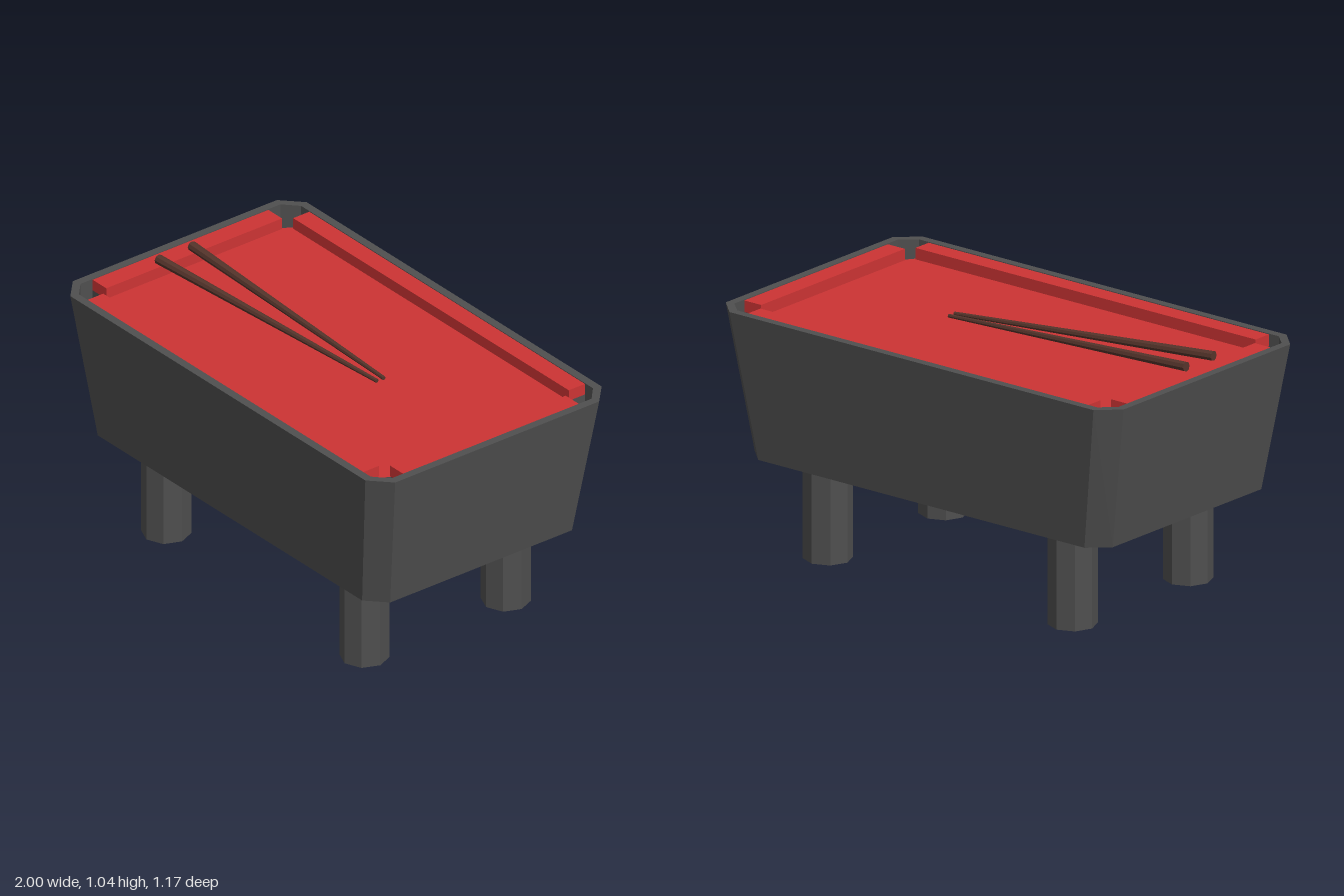
import * as THREE from 'three';

const grey = new THREE.MeshStandardMaterial({ color: 0x4f4f4f, flatShading: true });
grey.name = 'dark grey';
const red = new THREE.MeshStandardMaterial({ color: 0xcc3434, flatShading: true });
red.name = 'red felt';
const brown = new THREE.MeshStandardMaterial({ color: 0x55342b, flatShading: true });
brown.name = 'dark wood';

function add(group, name, geometry, material) {
  const mesh = new THREE.Mesh(geometry, material);
  mesh.name = name;
  group.add(mesh);
  return mesh;
}

// Chamfered rectangle at height y; (cx, cz) is where the chamfer starts on each side
function ring(y, hx, hz, cx, cz) {
  return [[hx, cz], [cx, hz], [-cx, hz], [-hx, cz], [-hx, -cz], [-cx, -hz], [cx, -hz], [hx, -cz]]
    .map(([x, z]) => [x, y, z]);
}

// Closed shell joining successive rings, capped at both ends
function loft(rings) {
  const pos = [];
  const tri = (a, b, c) => pos.push(...a, ...b, ...c);
  for (let k = 0; k < rings.length - 1; k++) {
    const lo = rings[k], hi = rings[k + 1];
    for (let i = 0; i < 8; i++) {
      const j = (i + 1) % 8;
      tri(lo[i], hi[i], hi[j]);
      tri(lo[i], hi[j], lo[j]);
    }
  }
  const first = rings[0], last = rings[rings.length - 1];
  for (let i = 1; i < 7; i++) {
    tri(first[0], first[i], first[i + 1]);
    tri(last[0], last[i + 1], last[i]);
  }
  const geometry = new THREE.BufferGeometry();
  geometry.setAttribute('position', new THREE.Float32BufferAttribute(pos, 3));
  geometry.computeVertexNormals();
  return geometry;
}

// Flat slab with outline points (x, z) between two heights
function slab(points, y0, y1) {
  const shape = new THREE.Shape(points.map(([x, z]) => new THREE.Vector2(x, -z)));
  return new THREE.ExtrudeGeometry(shape, { depth: y1 - y0, bevelEnabled: false })
    .rotateX(-Math.PI / 2).translate(0, y0, 0);
}

export function createModel() {
  const table = new THREE.Group();
  table.name = 'poolTable';

  // Tapered cabinet with a rim and a shallow basin
  add(table, 'cabinet', loft([
    ring(0.4, 0.9, 0.525, 0.82, 0.45),
    ring(1, 1, 0.585, 0.915, 0.505),
    ring(1, 0.965, 0.55, 0.905, 0.495),
    ring(0.88, 0.965, 0.55, 0.905, 0.495),
  ]), grey);

  // Playing surface, cut away at the four corner pockets
  const corner = [[0.965, 0.435], [0.89, 0.435], [0.855, 0.485], [0.855, 0.55]];
  const outline = [];
  for (const [sx, sz] of [[1, 1], [-1, 1], [-1, -1], [1, -1]]) {
    const points = corner.map(([x, z]) => [x * sx, z * sz]);
    outline.push(...(sx * sz > 0 ? points : points.reverse()));
  }
  add(table, 'playingSurface', slab(outline, 0.88, 0.95), [red, grey]);

  // Cushions along the four sides
  for (const s of [1, -1]) {
    const long = [[-0.855, 0.47], [0.855, 0.47], [0.855, 0.55], [-0.855, 0.55]];
    const short = [[0.88, -0.435], [0.965, -0.435], [0.965, 0.435], [0.88, 0.435]];
    add(table, 'longCushion', slab(long.map(([x, z]) => [x, z * s]), 0.95, 0.997), red);
    add(table, 'shortCushion', slab(short.map(([x, z]) => [x * s, z]), 0.95, 0.997), red);
  }

  // Octagonal legs
  for (const x of [-0.615, 0.615]) {
    for (const z of [-0.35, 0.35]) {
      add(table, 'leg', new THREE.CylinderGeometry(0.098, 0.098, 0.4, 8), grey).position.set(x, 0.2, z);
    }
  }

  // Two cues resting on the end cushion
  for (const [buttZ, tipZ] of [[-0.004, -0.002], [0.162, 0.032]]) {
    const butt = new THREE.Vector3(-0.9, 1.021, buttZ);
    const tip = new THREE.Vector3(0.295, 0.967, tipZ);
    const axis = tip.clone().sub(butt);
    const cue = add(table, 'cue', new THREE.CylinderGeometry(0.008, 0.02, axis.length(), 8), brown);
    cue.position.copy(butt).add(tip).multiplyScalar(0.5);
    cue.quaternion.setFromUnitVectors(new THREE.Vector3(0, 1, 0), axis.normalize());
  }
  return table;
}
